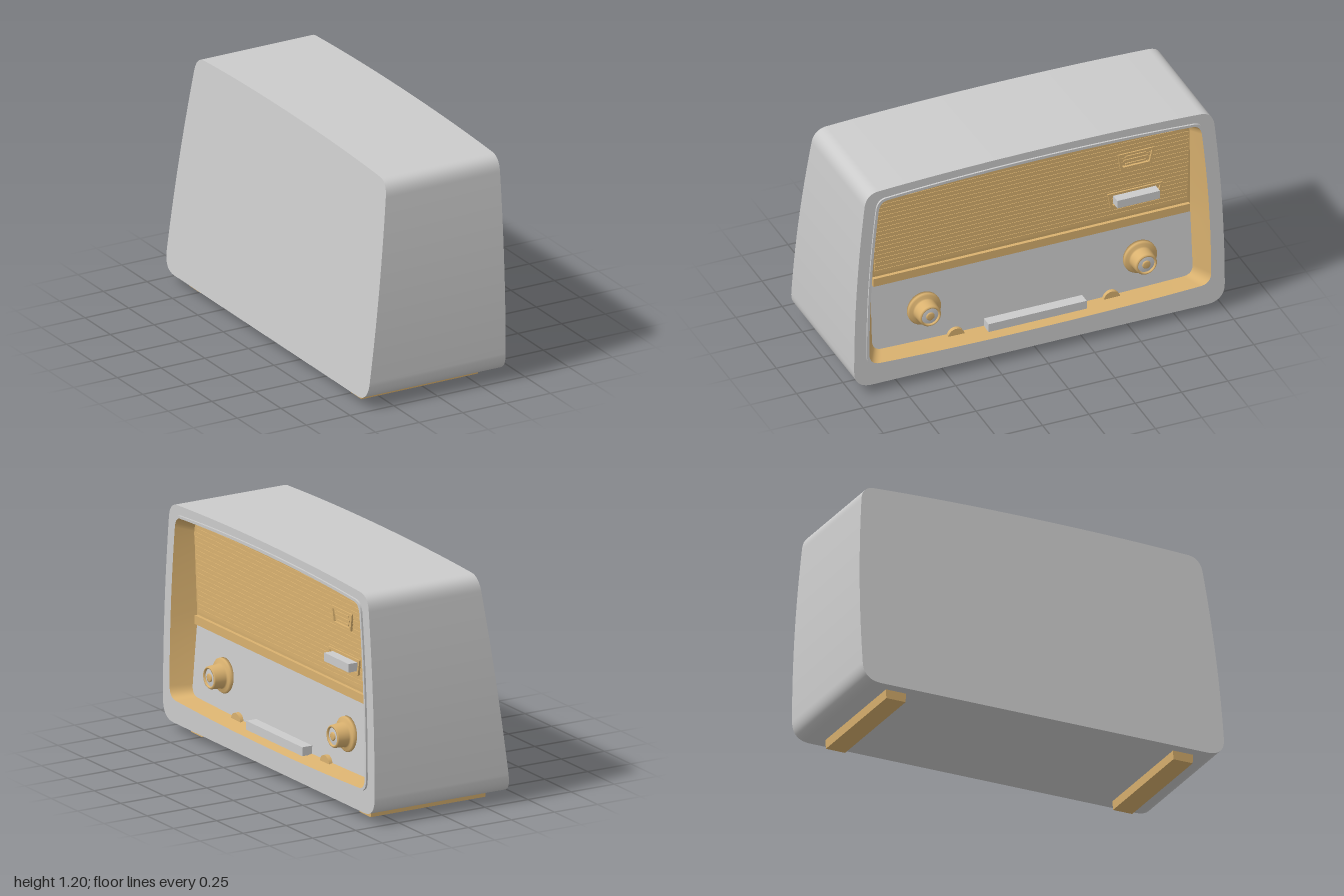
import * as THREE from 'three';

const grey = new THREE.MeshStandardMaterial({ color: 0xcccccc });
const tan = new THREE.MeshStandardMaterial({ color: 0xd9b16f });
const { Vector2: V2, Vector3: V3 } = THREE;

// Symmetric rounded outline: bottom/top half widths, bottom/top heights at
// the corners and at the middle, and the corner radii. Counter-clockwise.
function outline({ w0, w1, yb, ybMid, yt, ytMid, r0, r1 }) {
  const quad = (a, b, c) => new THREE.QuadraticBezierCurve(new V2(...a), new V2(...b), new V2(...c));
  const half = [];
  const curves = [
    quad([0, ybMid], [w0 * 0.5, ybMid], [w0 - r0, yb]),
    quad([w0 - r0, yb], [w0, yb], [w0, yb + r0]),
    quad([w0, yb + r0], [w0, (yb + yt) / 2], [w1, yt - r1]),
    quad([w1, yt - r1], [w1 - 0.008, yt], [w1 - r1, yt]),
    quad([w1 - r1, yt], [w1 * 0.5, ytMid], [0, ytMid]),
  ];
  curves.forEach((c, i) => half.push(...c.getPoints(16).slice(i ? 1 : 0)));
  const mirrored = half.slice(1, -1).reverse().map(p => new V2(-p.x, p.y));
  return [...half, ...mirrored];
}

// Skin between closed rings of points
function loft(rings) {
  const n = rings[0].length, index = [];
  for (let k = 0; k < rings.length - 1; k++) {
    for (let i = 0; i < n; i++) {
      const j = (i + 1) % n, a = k * n, b = a + n;
      index.push(a + i, a + j, b + i, a + j, b + j, b + i);
    }
  }
  const g = new THREE.BufferGeometry().setFromPoints(rings.flat());
  g.setIndex(index);
  g.computeVertexNormals();
  return g;
}

const ring = (pts, depth) => pts.map(p => new V3(p.x, p.y, depth(p.y)));

// Flat face whose depth follows a rule of height
function face(shape, depth) {
  const g = new THREE.ShapeGeometry(shape);
  const p = g.attributes.position;
  for (let i = 0; i < p.count; i++) p.setZ(i, depth(p.getY(i)));
  g.computeVertexNormals();
  return g;
}

// Shape with an optional hole
function ringShape(outer, inner) {
  const s = new THREE.Shape(outer);
  if (inner) s.holes.push(new THREE.Path(inner));
  return s;
}

const FRONT = 0.39;
const backDepth = y => -0.4 + 0.15 * (y - 0.05) / 1.15;
const panelDepth = y => (y < 0.575
  ? 0.305 - 0.03 * (y - 0.18) / 0.395
  : 0.275 + 0.03 * (y - 0.575) / 0.525);

export function createModel() {
  const root = new THREE.Group();
  root.name = 'tableRadio';
  const body = new THREE.Group();
  body.name = 'radioBody';
  body.rotation.y = Math.PI / 2; // built facing +z, turned to face +x
  root.add(body);

  const add = (name, geometry, material, x = 0, y = 0, z = 0, parent = body) => {
    const m = new THREE.Mesh(geometry, material);
    m.name = name;
    m.position.set(x, y, z);
    parent.add(m);
    return m;
  };

  const outer = outline({ w0: 1, w1: 0.945, yb: 0.047, ybMid: 0.047, yt: 1.18, ytMid: 1.2, r0: 0.1, r1: 0.085 });
  const trimOuter = outline({ w0: 0.935, w1: 0.885, yb: 0.158, ybMid: 0.14, yt: 1.135, ytMid: 1.16, r0: 0.07, r1: 0.06 });
  const trimInner = outline({ w0: 0.922, w1: 0.872, yb: 0.17, ybMid: 0.153, yt: 1.122, ytMid: 1.145, r0: 0.065, r1: 0.055 });
  const panel = outline({ w0: 0.865, w1: 0.848, yb: 0.185, ybMid: 0.175, yt: 1.092, ytMid: 1.108, r0: 0.055, r1: 0.055 });

  // Cabinet: side skin, front rim and leaning back
  add('cabinetShell', loft([ring(outer, backDepth), ring(outer, () => FRONT)]), grey);
  add('cabinetFrontRim', face(ringShape(outer, trimOuter), () => FRONT), grey);
  const back = add('cabinetBack', face(new THREE.Shape(outer), backDepth), grey);
  back.geometry.index.array.reverse();
  back.geometry.computeVertexNormals();

  // Thin trim around the opening and the tapering recess wall
  add('openingTrim', new THREE.ExtrudeGeometry(ringShape(trimOuter, trimInner),
    { depth: 0.01, bevelEnabled: false }), grey, 0, 0, FRONT);
  add('recessWall', loft([ring(trimInner, () => 0.4), ring(panel, panelDepth)]), tan);

  // Upper speaker panel and lower control panel
  const clip = (lo, hi) => new THREE.Shape(panel.map(p => new V2(p.x, Math.min(hi, Math.max(lo, p.y)))));
  add('speakerPanel', face(clip(0.575, 2), panelDepth), tan);
  add('controlPanel', face(clip(0, 0.575), panelDepth), grey);
  for (let i = 0; i < 20; i++) {
    const y = 0.626 + i * 0.0235;
    add('speakerSlat', new THREE.BoxGeometry(y > 1.04 ? 1.64 : 1.69, 0.0205, 0.008), tan, 0, y, panelDepth(y));
  }
  add('dividerStrip', new THREE.BoxGeometry(1.71, 0.045, 0.03), tan, 0, 0.576, 0.28);

  // Tuning knobs: flange, raised grip, inset grey cap and centre button
  const knobProfile = [[0, 0], [0.09, 0], [0.09, 0.018], [0.082, 0.027], [0.066, 0.027],
    [0.062, 0.035], [0.058, 0.09], [0.053, 0.096], [0.047, 0.096], [0.045, 0.086]];
  const lathe = pts => new THREE.LatheGeometry(pts.map(p => new V2(...p)), 40).rotateX(Math.PI / 2);
  for (const side of [-1, 1]) {
    const knob = new THREE.Group();
    knob.name = side < 0 ? 'leftKnob' : 'rightKnob';
    knob.position.set(side * 0.583, 0.358, 0.285);
    body.add(knob);
    add('knobGrip', lathe(knobProfile), tan, 0, 0, 0, knob);
    add('knobCap', lathe([[0.046, 0.086], [0.02, 0.09], [0, 0.09]]), grey, 0, 0, 0, knob);
    add('knobButton', lathe([[0.022, 0.086], [0.022, 0.094], [0.016, 0.097], [0, 0.097]]), tan, 0, 0, 0, knob);

    // Small half-round thumb wheel by the ledge
    add('thumbWheel', new THREE.CylinderGeometry(0.045, 0.045, 0.025, 32).rotateX(Math.PI / 2),
      tan, side * 0.42, 0.165, 0.312);

    // Foot rail, narrower at the floor
    const foot = new THREE.BoxGeometry(0.112, 0.052, 0.665);
    const p = foot.attributes.position;
    for (let i = 0; i < p.count; i++) if (p.getY(i) < 0) p.setX(i, p.getX(i) * 0.95);
    foot.computeVertexNormals();
    add('footRail', foot, tan, side * 0.795, 0.026, -0.013);
  }

  // Key bar at the bottom of the control panel
  add('keyBar', new THREE.BoxGeometry(0.53, 0.046, 0.065), grey, 0.003, 0.194, 0.328);

  // Raised frames on the speaker panel, wider at the top
  const trapezoid = (top, bottom, h) => [[-bottom, -h], [bottom, -h], [top, h], [-top, h]].map(p => new V2(...p));
  const frame = (name, top, bottom, h, t, y) => add(name, new THREE.ExtrudeGeometry(
    ringShape(trapezoid(top, bottom, h), trapezoid(top - t, bottom - t, h - t)),
    { depth: 0.014, bevelEnabled: false }), tan, 0.557, y, panelDepth(y));
  frame('windowFrame', 0.148, 0.132, 0.041, 0.012, 0.727);
  add('windowBar', new THREE.BoxGeometry(0.23, 0.044, 0.06), grey, 0.557, 0.727, 0.31);
  frame('ornamentFrame', 0.098, 0.084, 0.045, 0.012, 0.95);
  for (const [w, y] of [[0.11, 0.972], [0.13, 0.95], [0.11, 0.928]]) {
    add('ornamentBar', new THREE.BoxGeometry(w, 0.009, 0.02), tan, 0.557, y, panelDepth(y));
  }
  return root;
}
